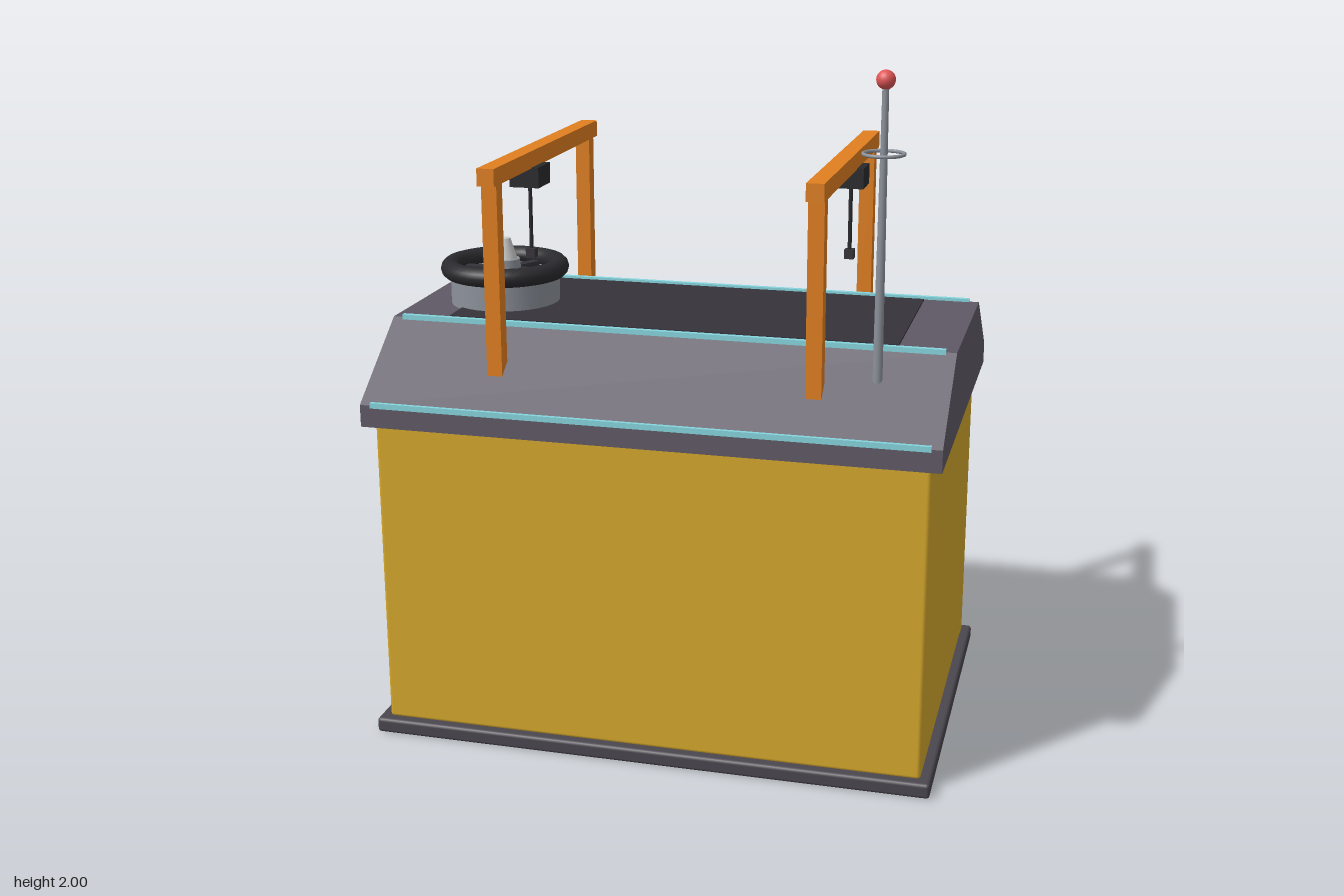
import * as THREE from 'three';
import { RoundedBoxGeometry } from 'three/addons/geometries/RoundedBoxGeometry.js';

const mat = (color) => new THREE.MeshStandardMaterial({ color });
const M = {
  wall: mat(0xd4a72c), roof: mat(0x5f5966), base: mat(0x4a464e), dark: mat(0x35333a),
  black: mat(0x2a2a2e), steel: mat(0x8c929b), trim: mat(0x86d6de), orange: mat(0xe07f20),
  hazard: mat(0xd9b020), red: mat(0xd83a10), green: mat(0x108a30), beacon: mat(0xe05555),
  lamp: mat(0xcccccc),
};

export function createModel() {
  const root = new THREE.Group();

  const add = (name, geo, m, x = 0, y = 0, z = 0, parent = root) => {
    const mesh = new THREE.Mesh(geo, m);
    mesh.name = name;
    mesh.position.set(x, y, z);
    parent.add(mesh);
    return mesh;
  };
  const box = (name, w, h, d, m, x, y, z, parent) =>
    add(name, new THREE.BoxGeometry(w, h, d), m, x, y, z, parent);
  const cyl = (name, r0, r1, h, m, x, y, z, parent, sides = 24) =>
    add(name, new THREE.CylinderGeometry(r0, r1, h, sides), m, x, y, z, parent);
  const ball = (name, r, m, x, y, z, parent) =>
    add(name, new THREE.SphereGeometry(r, 20, 14), m, x, y, z, parent);
  // Cylinder spanning two points
  const rod = (name, a, b, r0, r1, m, parent) => {
    const p = new THREE.Vector3(...a), q = new THREE.Vector3(...b);
    const mid = p.clone().lerp(q, 0.5);
    const mesh = cyl(name, r1, r0, p.distanceTo(q), m, mid.x, mid.y, mid.z, parent);
    mesh.quaternion.setFromUnitVectors(new THREE.Vector3(0, 1, 0), q.sub(p).normalize());
    return mesh;
  };
  const group = (name, x = 0, y = 0, z = 0) => {
    const g = new THREE.Group();
    g.name = name;
    g.position.set(x, y, z);
    root.add(g);
    return g;
  };

  // Base slab and hollow walls
  add('baseSlab', new RoundedBoxGeometry(1.66, 0.045, 1.115, 2, 0.01), M.base, 0, 0.0225, 0.1075);
  box('floor', 1.56, 0.01, 1.0, M.dark, 0, 0.047, 0.1075);
  add('frontWall', new RoundedBoxGeometry(1.6, 0.93, 0.04, 2, 0.012), M.wall, 0, 0.505, 0.615);
  for (const s of [-1, 1])
    add('sideWall', new RoundedBoxGeometry(0.04, 0.93, 1.055, 2, 0.012), M.wall, s * 0.78, 0.505, 0.1075);

  // Back wall with the gate opening
  const wall = new THREE.Shape([[-0.8, 0.04], [0.8, 0.04], [0.8, 0.97], [-0.8, 0.97]].map((p) => new THREE.Vector2(...p)));
  wall.holes.push(new THREE.Path([[-0.42, 0.045], [-0.42, 0.73], [0.42, 0.73], [0.42, 0.045]].map((p) => new THREE.Vector2(...p))));
  add('backWall', new THREE.ExtrudeGeometry(wall, { depth: 0.04, bevelEnabled: false }), M.wall, 0, 0, -0.42);

  // Roof prism, its panel and edge trims
  const roof = new THREE.Shape([[-0.665, 0.965], [0.45, 0.965], [0.45, 1.03], [0.195, 1.225], [-0.4, 1.225], [-0.665, 1.03]]
    .map((p) => new THREE.Vector2(...p)));
  const roofGeo = new THREE.ExtrudeGeometry(roof, { depth: 1.66, bevelEnabled: false });
  roofGeo.rotateY(Math.PI / 2);
  add('roof', roofGeo, M.roof, -0.83, 0, 0);
  box('roofPanel', 1.33, 0.008, 0.54, M.dark, 0, 1.227, 0.1);
  for (const [y, z] of [[1.03, 0.658], [1.226, 0.4], [1.226, -0.195], [1.03, -0.452]])
    box('roofTrim', 1.6, 0.016, 0.016, M.trim, 0, y, z);
  for (const s of [-1, 1]) ball('roofLamp', 0.032, M.orange, s * 0.735, 1.095, -0.365);

  // Gantries with hoists
  for (const [x, hz] of [[-0.46, 0.215], [0.46, 0]]) {
    const g = group('gantry', x);
    box('gantryBeam', 0.05, 0.05, 0.95, M.orange, 0, 1.685, 0.105, g);
    for (const z of [0.533, -0.315]) box('gantryPost', 0.045, 0.56, 0.045, M.orange, 0, 1.39, z, g);
    box('hoist', 0.09, 0.06, 0.105, M.black, 0, 1.632, hz, g);
    cyl('hoistCable', 0.006, 0.006, 0.2, M.black, 0, 1.505, hz, g, 8);
    box('hoistHook', 0.028, 0.028, 0.028, M.dark, 0, 1.398, hz, g);
  }

  // Roof fan
  const fan = group('roofFan', -0.575, 0, 0.135);
  cyl('fanDrum', 0.165, 0.165, 0.09, M.steel, 0, 1.27, 0, fan, 32);
  add('fanRim', new THREE.TorusGeometry(0.165, 0.029, 12, 40).rotateX(Math.PI / 2), M.black, 0, 1.332, 0, fan);
  for (let i = 0; i < 6; i++) {
    const a = (i * Math.PI) / 3;
    const blade = box('fanBlade', 0.09, 0.015, 0.028, M.dark, Math.cos(a) * 0.08, 1.323, Math.sin(a) * 0.08, fan);
    blade.rotation.y = -a;
  }
  cyl('fanHub', 0.045, 0.05, 0.045, M.steel, 0, 1.335, 0, fan);
  cyl('fanCone', 0.018, 0.038, 0.065, M.lamp, 0, 1.388, 0, fan);

  // Antenna
  const antenna = group('antenna', 0.625, 0, 0.487);
  cyl('antennaMast', 0.009, 0.014, 0.82, M.steel, 0, 1.56, 0, antenna, 12);
  add('antennaRing', new THREE.TorusGeometry(0.055, 0.005, 8, 32).rotateX(Math.PI / 2), M.steel, 0, 1.78, 0, antenna);
  ball('antennaBeacon', 0.026, M.beacon, 0, 1.975, 0, antenna);

  // Sliding gate with rail, slats and hazard bars
  rod('gateRail', [-0.6, 0.762, -0.455], [0.6, 0.762, -0.455], 0.012, 0.012, M.black);
  box('gateLintel', 1.0, 0.035, 0.025, M.hazard, 0, 0.8, -0.428);
  for (const s of [-1, 1]) {
    const gate = group('slidingDoor', s * 0.325);
    box('doorPanel', 0.31, 0.705, 0.03, M.steel, 0, 0.4, -0.448, gate);
    for (const y of [0.58, 0.47]) box('doorSlat', 0.27, 0.028, 0.014, M.dark, 0, y, -0.466, gate);
    for (let i = -1; i <= 1; i++) {
      const bar = box('hazardBar', 0.028, 0.27, 0.012, M.hazard, 0.03 + i * 0.08, 0.2, -0.468, gate);
      bar.rotation.z = -0.61;
    }
  }

  // Small side doors
  for (const [x, color] of [[0.69, M.red], [-0.69, M.green]]) {
    const d = group('sideDoor', x);
    for (const s of [-1, 1]) box('doorJamb', 0.02, 0.31, 0.025, color, s * 0.083, 0.195, -0.431, d);
    box('doorHeader', 0.186, 0.02, 0.025, color, 0, 0.34, -0.431, d);
    box('doorLeaf', 0.146, 0.285, 0.015, M.dark, 0, 0.188, -0.426, d);
    ball('doorKnob', 0.008, M.lamp, 0.05, 0.19, -0.438, d);
    ball('doorLamp', 0.016, M.lamp, 0, 0.382, -0.43, d);
  }

  // Robot arm reaching out through the gate
  const arm = group('robotArm');
  const base = [-0.1, 0.3, 0.05], elbow = [0.1, 0.5, -0.18], wrist = [0.15, 0.315, -0.585];
  cyl('armPedestal', 0.06, 0.08, 0.25, M.dark, base[0], 0.17, base[2], arm);
  ball('armShoulder', 0.06, M.black, ...base, arm);
  rod('upperArm', base, elbow, 0.045, 0.045, M.steel, arm);
  ball('armElbow', 0.052, M.black, ...elbow, arm);
  rod('forearm', elbow, wrist, 0.042, 0.04, M.steel, arm);
  ball('armWrist', 0.05, M.black, ...wrist, arm);
  box('armPalm', 0.1, 0.035, 0.04, M.black, 0.15, 0.27, -0.59, arm);
  for (const x of [-0.038, 0, 0.038]) box('armFinger', 0.024, 0.03, 0.09, M.black, 0.15 + x, 0.265, -0.63, arm);

  // Ground chevron and marker lights
  for (const s of [-1, 1]) {
    const leg = box('groundChevron', 0.25, 0.01, 0.032, M.hazard, s * 0.11, 0.01, -0.567);
    leg.rotation.y = -s * 0.427;
    for (let i = 0; i < 4; i++) cyl('groundLight', 0.015, 0.015, 0.012, M.lamp, s * 0.355, 0.01, -0.493 - i * 0.049, root, 12);
  }
  return root;
}
